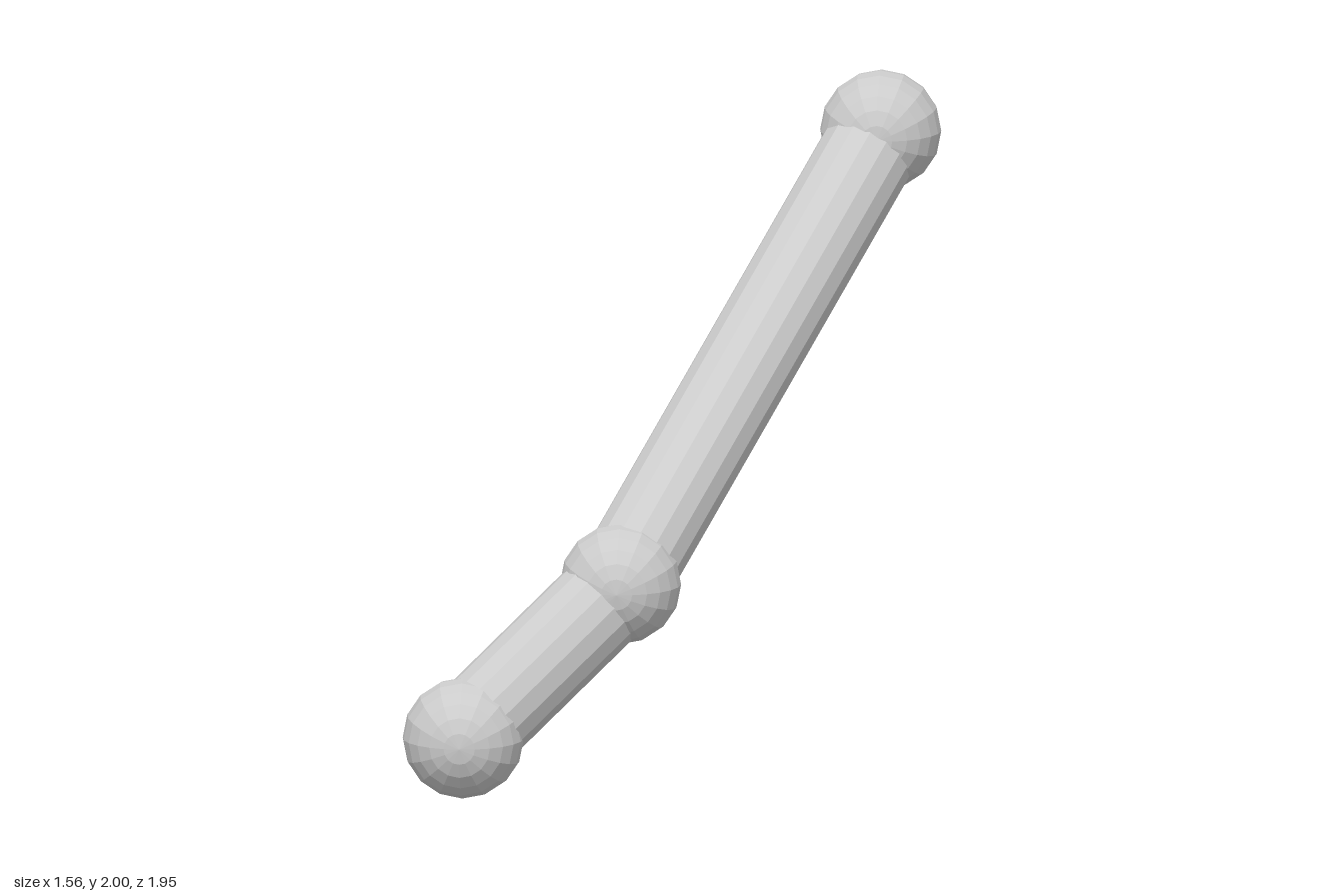
import * as THREE from 'three';

const JOINT_RADIUS = 0.188;
const BAR_RADIUS = 0.15;

export function createModel() {
  const group = new THREE.Group();
  const material = new THREE.MeshStandardMaterial({ color: 0xcccccc, flatShading: true });

  const joints = {
    lowerJoint: new THREE.Vector3(-0.592, 0.188, 0.785),
    middleJoint: new THREE.Vector3(-0.127, 0.617, 0.46),
    upperJoint: new THREE.Vector3(0.592, 1.812, -0.785),
  };

  // Ball joints, poles along z
  const ball = new THREE.SphereGeometry(JOINT_RADIUS, 16, 12).rotateX(Math.PI / 2);
  for (const [name, position] of Object.entries(joints)) {
    const mesh = new THREE.Mesh(ball, material);
    mesh.name = name;
    mesh.position.copy(position);
    group.add(mesh);
  }

  // Straight bar running between two joint centres
  function addBar(name, from, to) {
    const axis = to.clone().sub(from);
    const geometry = new THREE.CylinderGeometry(BAR_RADIUS, BAR_RADIUS, axis.length(), 16);
    const mesh = new THREE.Mesh(geometry, material);
    mesh.name = name;
    mesh.position.copy(from).add(to).multiplyScalar(0.5);
    mesh.quaternion.setFromUnitVectors(new THREE.Vector3(0, 1, 0), axis.normalize());
    group.add(mesh);
  }
  addBar('shortBar', joints.lowerJoint, joints.middleJoint);
  addBar('longBar', joints.middleJoint, joints.upperJoint);

  return group;
}
